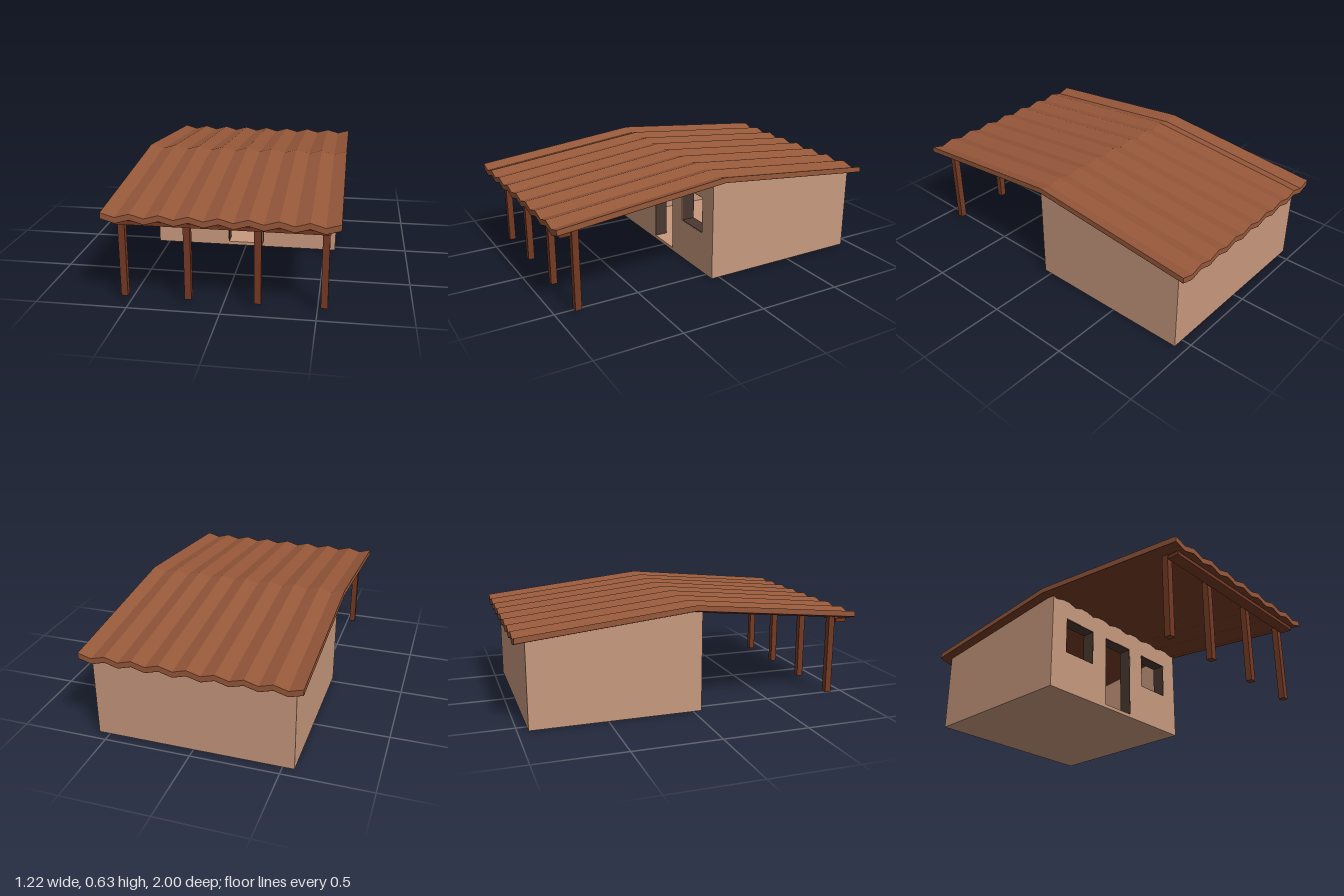
import * as THREE from 'three';

const mat = (color) => new THREE.MeshStandardMaterial({ color, flatShading: true });
const wallMat = mat(0xc8997e), roofMat = mat(0x96583a), woodMat = mat(0x743a24), darkMat = mat(0x4a3830);

const HALF_W = 0.565, FRONT = 0.05, BACK = -0.94, SLOPE = 0.103, FLOOR = 0.02;

export function createModel() {
  const model = new THREE.Group();

  const add = (name, geometry, material, parent = model) => {
    const mesh = new THREE.Mesh(geometry, material);
    mesh.name = name;
    parent.add(mesh);
    return mesh;
  };
  const box = (name, x0, x1, y0, y1, z0, z1, material, parent) =>
    add(name, new THREE.BoxGeometry(x1 - x0, y1 - y0, z1 - z0), material, parent)
      .position.set((x0 + x1) / 2, (y0 + y1) / 2, (z0 + z1) / 2);

  // Zigzag sheet running front to back, bent down on both sides of the ridge
  const sheet = (name, crest, thickness, material) => {
    const top = [], bottom = [];
    for (let i = 0; i <= 16; i++) {
      const x = -0.612 + i * 0.0765, y = crest - (i % 2) * 0.022;
      top.push(new THREE.Vector2(x, y));
      bottom.unshift(new THREE.Vector2(x, y - thickness));
    }
    const geo = new THREE.ExtrudeGeometry(new THREE.Shape([...top, ...bottom]),
      { depth: 2, steps: 2, bevelEnabled: false });
    geo.translate(0, 0, -1);
    const p = geo.attributes.position;
    for (let i = 0; i < p.count; i++) p.setY(i, p.getY(i) - SLOPE * Math.abs(p.getZ(i)));
    geo.computeVertexNormals();
    add(name, geo, material);
  };
  sheet('corrugatedRoof', 0.63, 0.029, roofMat);
  sheet('roofLining', 0.601, 0.004, woodMat);

  // Hollow house
  const house = new THREE.Group();
  house.name = 'house';
  model.add(house);
  box('floor', -HALF_W, HALF_W, 0, FLOOR, BACK, FRONT, wallMat, house);
  box('backWall', -HALF_W, HALF_W, FLOOR, 0.492, BACK, BACK + 0.04, wallMat, house);

  // Gabled side walls, drawn in (z, y) and turned to face sideways
  const gable = new THREE.Shape([
    [BACK, FLOOR], [FRONT, FLOOR], [FRONT, 0.587], [0, 0.592], [BACK, 0.495],
  ].map(([z, y]) => new THREE.Vector2(-z, y)));
  for (const side of [-1, 1]) {
    const geo = new THREE.ExtrudeGeometry(gable, { depth: 0.04, bevelEnabled: false });
    geo.rotateY(Math.PI / 2);
    geo.translate(side > 0 ? HALF_W - 0.04 : -HALF_W, 0, 0);
    add(side > 0 ? 'leftWall' : 'rightWall', geo, wallMat, house);
  }

  // Front wall with a doorway and two windows
  const rect = (Type, x0, x1, y0, y1) => new Type([
    new THREE.Vector2(x0, y0), new THREE.Vector2(x1, y0),
    new THREE.Vector2(x1, y1), new THREE.Vector2(x0, y1)]);
  const wall = rect(THREE.Shape, -HALF_W, HALF_W, FLOOR, 0.585);
  const openings = [
    ['door', -0.113, 0.113, FLOOR + 0.001],
    ['leftWindow', 0.225, 0.453, 0.247],
    ['rightWindow', -0.453, -0.225, 0.247],
  ];
  const DEPTH = 0.08, HEAD = 0.47, T = 0.004;
  for (const [name, x0, x1, y0] of openings) {
    wall.holes.push(rect(THREE.Path, x0, x1, y0, HEAD));
    // Thin dark lining around the opening
    const z0 = FRONT - DEPTH, z1 = FRONT - 0.001;
    box(name + 'FrameSideA', x0, x0 + T, y0, HEAD, z0, z1, darkMat, house);
    box(name + 'FrameSideB', x1 - T, x1, y0, HEAD, z0, z1, darkMat, house);
    box(name + 'FrameHead', x0, x1, HEAD - T, HEAD, z0, z1, darkMat, house);
    if (name !== 'door') box(name + 'Sill', x0, x1, y0, y0 + T, z0, z1, darkMat, house);
  }
  const frontGeo = new THREE.ExtrudeGeometry(wall, { depth: DEPTH, bevelEnabled: false });
  frontGeo.translate(0, 0, FRONT - DEPTH);
  add('frontWall', frontGeo, wallMat, house);

  // Porch posts and eave beam
  for (const x of [-0.538, -0.188, 0.186, 0.536])
    box('porchPost', x - 0.0185, x + 0.0185, FLOOR, 0.492, 0.862, 0.899, woodMat);
  box('porchBeam', -0.56, 0.56, 0.457, 0.478, 0.905, 0.97, woodMat);

  return model;
}
